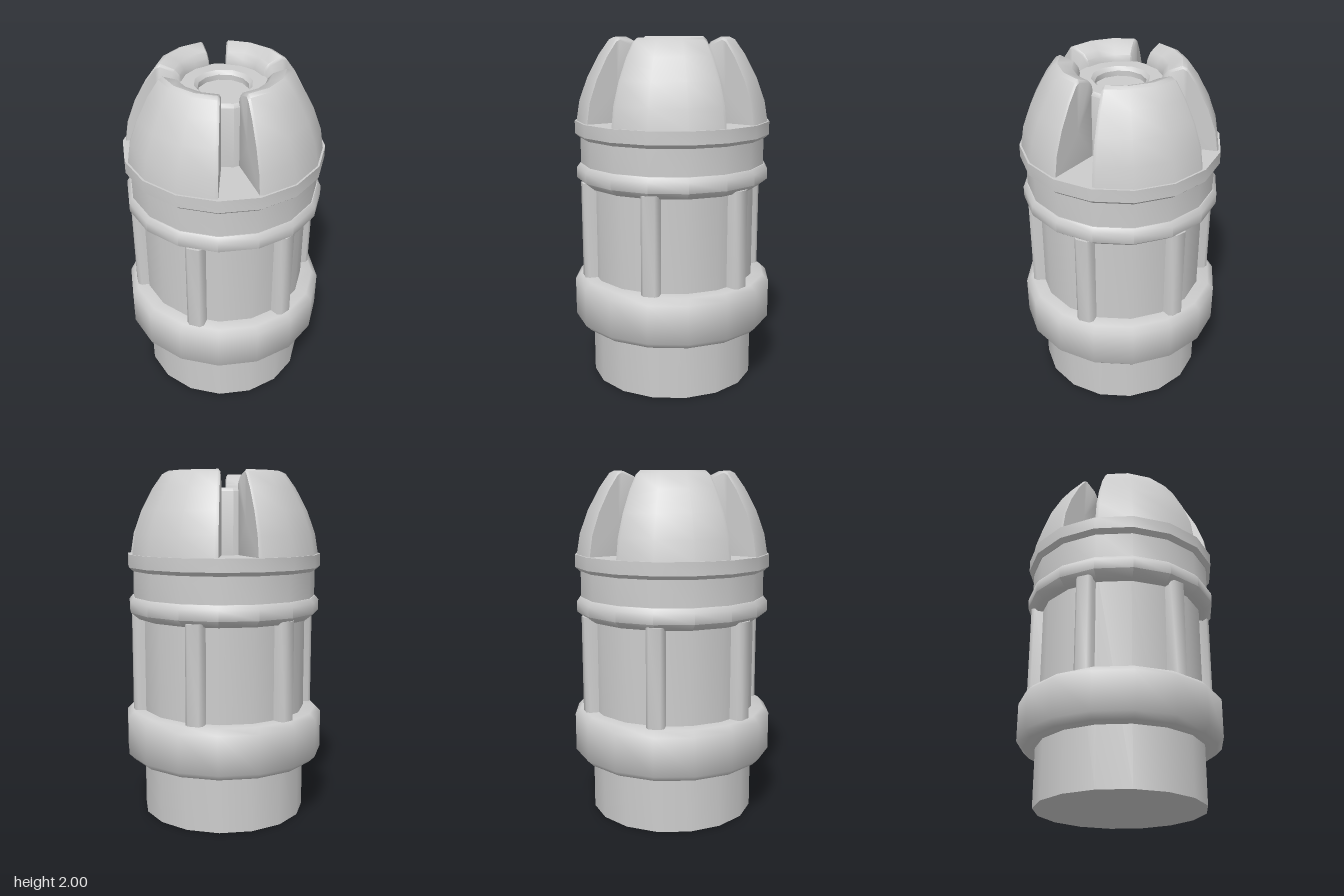
import * as THREE from 'three';
import { toCreasedNormals } from 'three/addons/utils/BufferGeometryUtils.js';

const SEGMENTS = 16;
const STEP = (Math.PI * 2) / SEGMENTS;

// Turned part from [radius, height] pairs, listed from bottom to top
function turned(name, profile, material, crease = 0.65, segments = SEGMENTS) {
  const points = profile.map(([r, y]) => new THREE.Vector2(r, y));
  const geometry = new THREE.LatheGeometry(points, segments);
  const mesh = new THREE.Mesh(toCreasedNormals(geometry, crease), material);
  mesh.name = name;
  return mesh;
}

// Dome jaw: a closed profile swept through three facets, with bevelled ends
function jawGeometry() {
  const profile = [
    [0.225, 1.53], [0.555, 1.53], [0.535, 1.65], [0.487, 1.78], [0.42, 1.905],
    [0.36, 1.988], [0.335, 2.0], [0.26, 1.97], [0.235, 1.94], [0.225, 1.9],
  ];
  const centre = [0.36, 1.72];
  const bevel = 0.035;
  const sections = [
    [0, 0.955], [bevel, 1], [STEP, 1], [STEP * 2, 1], [STEP * 3 - bevel, 1], [STEP * 3, 0.955],
  ];
  const n = profile.length;
  const positions = [];
  const indices = [];
  const addPoint = (angle, r, y) => positions.push(Math.sin(angle) * r, y, Math.cos(angle) * r);
  for (const [angle, scale] of sections) {
    // Keep the bevelled ends on the facets of the sixteen-sided outline
    const fromCorner = ((angle % STEP) + STEP) % STEP;
    const facet = Math.cos(STEP / 2) / Math.cos(fromCorner - STEP / 2);
    for (const [r, y] of profile) {
      const pr = centre[0] + (r - centre[0]) * scale;
      const py = y < 1.54 ? y : centre[1] + (y - centre[1]) * scale;
      addPoint(angle, pr * facet, py);
    }
  }
  for (let s = 0; s < sections.length - 1; s++) {
    for (let i = 0; i < n; i++) {
      const a = s * n + i;
      const b = s * n + ((i + 1) % n);
      indices.push(a, a + n, b, b, a + n, b + n);
    }
  }
  // End caps
  const last = (sections.length - 1) * n;
  const capA = positions.length / 3;
  addPoint(0, ...centre);
  addPoint(STEP * 3, ...centre);
  for (let i = 0; i < n; i++) {
    const j = (i + 1) % n;
    indices.push(capA, i, j, capA + 1, last + j, last + i);
  }
  const geometry = new THREE.BufferGeometry();
  geometry.setAttribute('position', new THREE.Float32BufferAttribute(positions, 3));
  geometry.setIndex(indices);
  return toCreasedNormals(geometry, 0.8);
}

// Upright rib with chamfered outer corners
function ribGeometry() {
  const shape = new THREE.Shape();
  [[-0.05, -0.42], [-0.05, -0.52], [-0.032, -0.54], [0.032, -0.54], [0.05, -0.52], [0.05, -0.42]]
    .forEach(([x, y], i) => (i ? shape.lineTo(x, y) : shape.moveTo(x, y)));
  shape.closePath();
  const geometry = new THREE.ExtrudeGeometry(shape, { depth: 0.58, bevelEnabled: false });
  geometry.rotateX(-Math.PI / 2);
  geometry.translate(0, 0.605, 0);
  return toCreasedNormals(geometry, 0.9);
}

export function createModel() {
  const grey = new THREE.MeshStandardMaterial({ color: 0xcccccc });
  grey.name = 'plain grey';
  const model = new THREE.Group();
  model.name = 'ribbedCapsule';

  // Stacked body
  model.add(
    turned('shaft', [[0, 0], [0.48, 0], [0.48, 1.2], [0, 1.2]], grey),
    turned('lowerRing', [
      [0.44, 0.335], [0.55, 0.335], [0.585, 0.37], [0.585, 0.59], [0.55, 0.625], [0.44, 0.625],
    ], grey, 0.9),
    turned('upperRing', [
      [0.42, 1.165], [0.51, 1.165], [0.56, 1.205], [0.56, 1.265], [0.54, 1.29], [0.42, 1.29],
    ], grey, 0.9),
    turned('neck', [[0.42, 1.27], [0.535, 1.27], [0.535, 1.46], [0.42, 1.46]], grey),
    turned('domeBase', [
      [0, 1.44], [0.54, 1.44], [0.565, 1.462], [0.565, 1.535], [0, 1.535],
    ], grey),
  );

  // Central post with a shallow socket
  model.add(
    turned('centrePost', [[0.255, 1.52], [0.255, 1.885], [0.24, 1.905], [0.16, 1.905]], grey, 0.65, 12),
    turned('socket', [[0.16, 1.905], [0.14, 1.885], [0.14, 1.855], [0, 1.855]], grey, 0.65, 12),
  );

  // Six ribs around the shaft
  const rib = ribGeometry();
  for (let i = 0; i < 6; i++) {
    const mesh = new THREE.Mesh(rib, grey);
    mesh.name = 'rib';
    mesh.rotation.y = (i * Math.PI) / 3;
    model.add(mesh);
  }

  // Four jaws with a one-facet gap between them
  const jaw = jawGeometry();
  for (let i = 0; i < 4; i++) {
    const mesh = new THREE.Mesh(jaw, grey);
    mesh.name = 'jaw';
    mesh.rotation.y = (i * Math.PI) / 2 - STEP;
    model.add(mesh);
  }
  return model;
}
